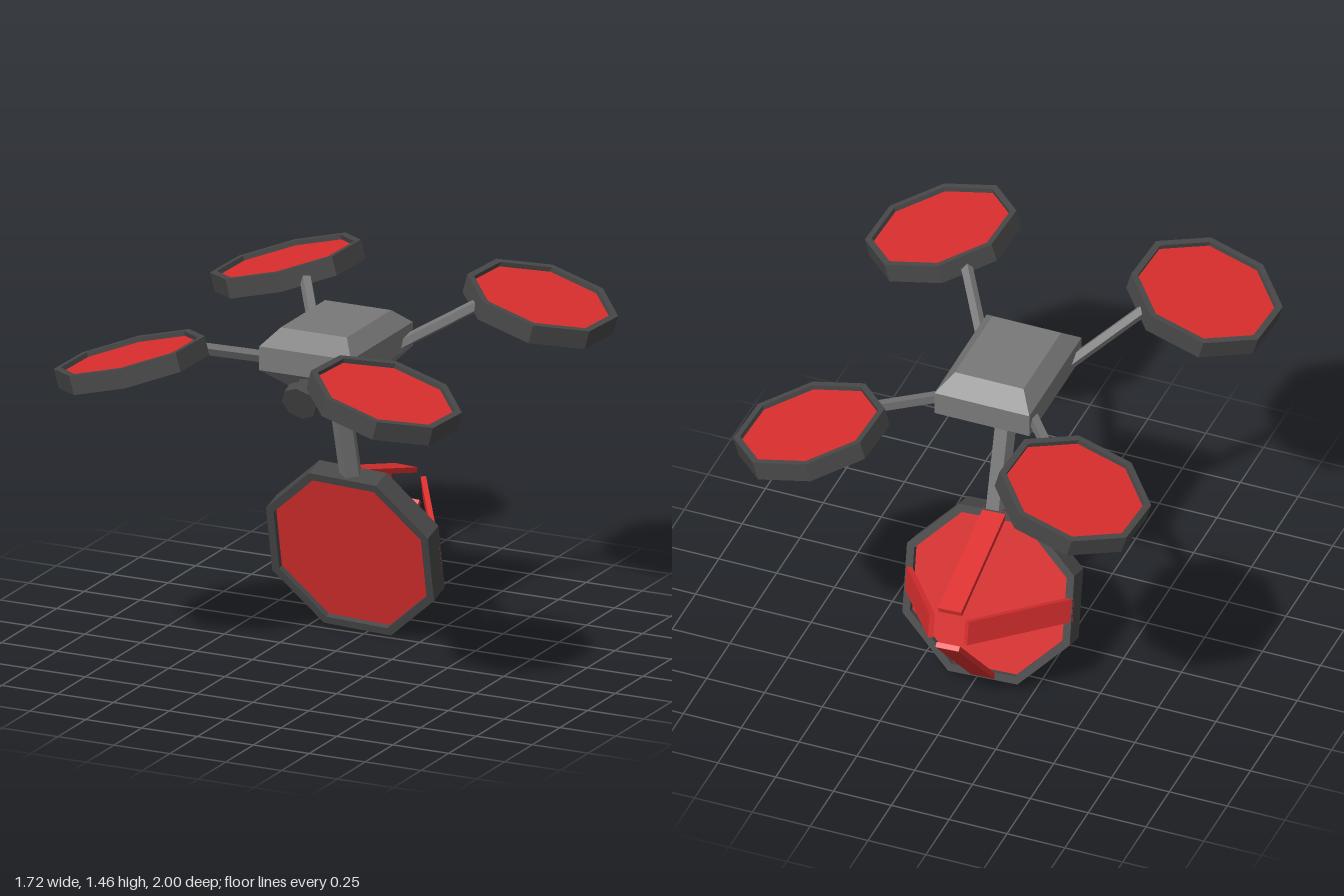
import * as THREE from 'three';

const flat = (name, color) => {
  const m = new THREE.MeshStandardMaterial({ color, flatShading: true });
  m.name = name;
  return m;
};

export function createModel() {
  const model = new THREE.Group();
  model.name = 'dishDrone';
  const red = flat('red', 0xdb2e2e);
  const grey = flat('grey', 0x787878);
  const dark = flat('darkGrey', 0x484848);
  const V = (x, y, z) => new THREE.Vector3(x, y, z);
  const UP = V(0, 1, 0);

  const add = (parent, name, geometry, material) => {
    const mesh = new THREE.Mesh(geometry, material);
    mesh.name = name;
    parent.add(mesh);
    return mesh;
  };

  // Straight prism between two points
  const rod = (parent, name, a, b, r, sides, material) => {
    const d = b.clone().sub(a);
    const mesh = add(parent, name, new THREE.CylinderGeometry(r, r, d.length(), sides), material);
    mesh.position.copy(a).add(b).multiplyScalar(0.5);
    mesh.quaternion.setFromUnitVectors(UP, d.normalize());
    return mesh;
  };

  // Octagonal pan facing +y: raised rim around a recessed red plate
  const pan = (name, s, yaw) => {
    const group = new THREE.Group();
    group.name = name;
    const spin = new THREE.Group();
    spin.name = name + 'Spin';
    spin.rotation.y = yaw;
    group.add(spin);
    const R = 0.39 * s, r = 0.355 * s, h = 0.1 * s;
    const octagon = (radius) => Array.from({ length: 8 }, (_, i) => {
      const t = (i + 0.5) * Math.PI / 4;
      return new THREE.Vector2(radius * Math.cos(t), radius * Math.sin(t));
    });
    const shape = new THREE.Shape(octagon(R));
    shape.holes.push(new THREE.Path(octagon(r)));
    const rim = new THREE.ExtrudeGeometry(shape, { depth: h, bevelEnabled: false });
    rim.translate(0, 0, -h / 2).rotateX(-Math.PI / 2);
    add(spin, name + 'Rim', rim, dark);
    add(spin, name + 'Plate',
      new THREE.CylinderGeometry(r + 0.004, r + 0.004, h - 0.05 * s, 8, 1, false, Math.PI / 8), red);
    model.add(group);
    return { group, spin };
  };

  // Faceted body lofted through rectangular sections: [y, half width, half depth]
  const sections = [[1.145, 0.13, 0.158], [1.235, 0.205, 0.28], [1.335, 0.205, 0.28], [1.4, 0.148, 0.2]];
  const corners = [[1, 1], [1, -1], [-1, -1], [-1, 1]];
  const pos = [], idx = [];
  for (const [y, hx, hz] of sections) for (const [sx, sz] of corners) pos.push(sx * hx, y, sz * hz);
  for (let k = 0; k < 3; k++) {
    for (let i = 0; i < 4; i++) {
      const a = k * 4 + i, b = k * 4 + (i + 1) % 4;
      idx.push(a, b, b + 4, a, b + 4, a + 4);
    }
  }
  idx.push(0, 2, 1, 0, 3, 2, 12, 13, 14, 12, 14, 15);
  const body = new THREE.BufferGeometry();
  body.setAttribute('position', new THREE.Float32BufferAttribute(pos, 3));
  body.setIndex(idx);
  const bodyGeometry = body.toNonIndexed();
  bodyGeometry.computeVertexNormals();
  add(model, 'body', bodyGeometry, grey);

  // Four arms and outward-tilted rotors
  for (const sx of [1, -1]) {
    for (const sz of [1, -1]) {
      const label = (sz > 0 ? 'front' : 'back') + (sx > 0 ? 'Left' : 'Right');
      rod(model, label + 'Arm', V(sx * 0.18, 1.26, sz * 0.18), V(sx * 0.385, 1.37, sz * 0.505), 0.026, 5, grey);
      const { group } = pan(label + 'Rotor', 0.805, -0.044);
      group.position.set(sx * 0.565, 1.34, sz * 0.705);
      group.rotation.z = -sx * 0.27;
    }
  }

  // Camera under the nose, pointing forward and down
  rod(model, 'cameraBarrel', V(0, 1.23, 0.1), V(0, 1.15, 0.305), 0.052, 8, dark);
  rod(model, 'cameraLens', V(0, 1.157, 0.286), V(0, 1.138, 0.334), 0.077, 8, dark);

  // Slanted post down to the dish
  rod(model, 'post', V(0, 0.69, -0.14), V(0, 1.2, 0.002), 0.047, 5, grey);

  // Large dish, its back facing local +y
  const { group: dish, spin } = pan('dish', 1, 0.044);
  dish.position.set(-0.025, 0.367, -0.225);
  dish.rotation.x = -1.29;

  // Four flat struts converging behind the dish
  const base = V(0, 0.035, 0.352), tip = V(0, 0.49, 0.075);
  const run = tip.clone().sub(base);
  for (let i = 0; i < 4; i++) {
    const holder = new THREE.Group();
    holder.name = 'strutHolder' + (i + 1);
    holder.rotation.y = i * Math.PI / 2;
    spin.add(holder);
    const strut = add(holder, 'strut', new THREE.BoxGeometry(0.1, run.length(), 0.022), red);
    strut.position.copy(base).add(tip).multiplyScalar(0.5);
    strut.rotation.x = Math.atan2(run.z, run.y);
  }

  return model;
}
